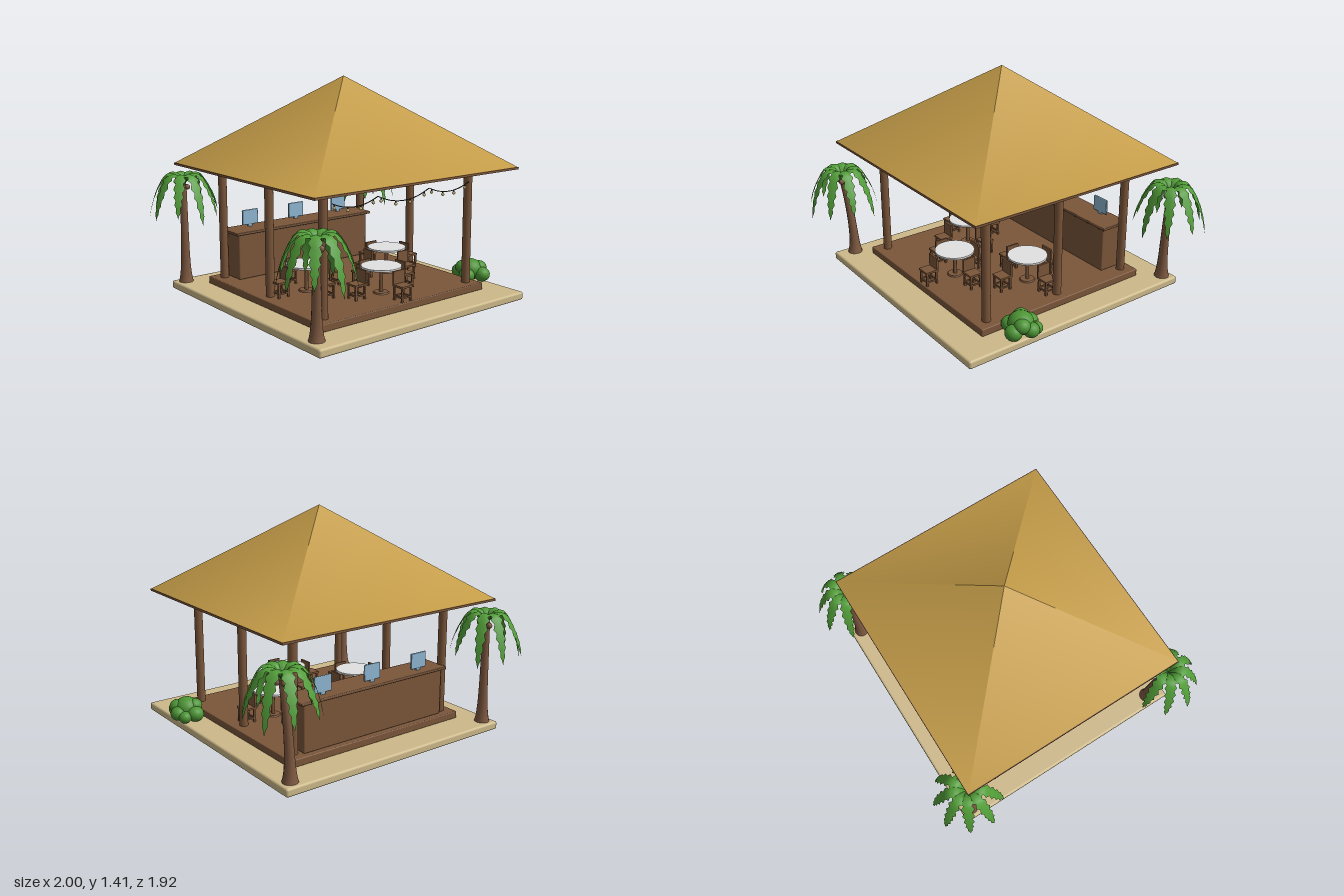
import * as THREE from 'three';
import { RoundedBoxGeometry } from 'three/addons/geometries/RoundedBoxGeometry.js';

const mat = (name, color, side = THREE.FrontSide) => {
  const m = new THREE.MeshStandardMaterial({ color, side });
  m.name = name;
  return m;
};

export function createModel() {
  const sand = mat('sand', 0xcdb98a);
  const wood = mat('wood', 0x7b563a);
  const trunkBrown = mat('trunk brown', 0x7d5840);
  const thatch = mat('thatch', 0xc49c48, THREE.DoubleSide);
  const white = mat('table white', 0xe2e2e2);
  const blue = mat('screen blue', 0x8db6d0);
  const leafGreen = mat('leaf green', 0x519c38, THREE.DoubleSide);
  const bushGreen = mat('bush green', 0x4c9434);
  const wireDark = mat('wire dark', 0x33302a);
  const bulbCream = mat('bulb cream', 0xd2bc82);

  const root = new THREE.Group();
  root.name = 'beachBar';

  const add = (parent, name, geo, material, x = 0, y = 0, z = 0) => {
    const m = new THREE.Mesh(geo, material);
    m.name = name;
    m.position.set(x, y, z);
    parent.add(m);
    return m;
  };
  const group = (name, x = 0, y = 0, z = 0, parent = root) => {
    const g = new THREE.Group();
    g.name = name;
    g.position.set(x, y, z);
    parent.add(g);
    return g;
  };
  const box = (w, h, d) => new THREE.BoxGeometry(w, h, d);

  // Sand slab and timber deck
  add(root, 'sandBase', new RoundedBoxGeometry(1.62, 0.052, 1.62, 3, 0.014), sand, 0, 0.026, 0);
  add(root, 'deck', new RoundedBoxGeometry(1.29, 0.047, 1.22, 2, 0.006), wood, 0, 0.0735, 0);

  // Six posts and the ring beam
  for (const x of [-0.572, 0.572]) {
    for (const z of [-0.53, 0, 0.53]) {
      add(root, 'post', new THREE.CylinderGeometry(0.027, 0.027, 0.71, 20), wood, x, 0.45, z);
    }
    add(root, 'sideBeam', box(0.06, 0.032, 1.22), wood, Math.sign(x) * 0.615, 0.817, 0);
  }
  for (const z of [-0.58, 0.58]) add(root, 'crossBeam', box(1.17, 0.032, 0.06), wood, 0, 0.817, z);

  // Roof: eave plate and a softly shaded four-sided pyramid
  add(root, 'eavePlate', box(1.585, 0.014, 1.505), wood, 0, 0.839, -0.004);
  const rx = 0.787, rz = 0.748;
  const corners = [[-rx, rz], [rx, rz], [rx, -rz], [-rx, -rz]];
  const pos = [], idx = [];
  corners.forEach(([x, z]) => pos.push(x, 0, z));
  corners.forEach((c, i) => {
    pos.push(0, 0.56, 0); // each face keeps its own apex normal
    idx.push(i, (i + 1) % 4, 4 + i);
  });
  const roof = new THREE.BufferGeometry();
  roof.setAttribute('position', new THREE.Float32BufferAttribute(pos, 3));
  roof.setIndex(idx);
  roof.computeVertexNormals();
  add(root, 'thatchRoof', roof, thatch, 0, 0.846, -0.004);

  // Bar counter with three screens
  const bar = group('barCounter', 0, 0, -0.49);
  add(bar, 'counterBody', new RoundedBoxGeometry(1.06, 0.295, 0.165, 2, 0.008), wood, -0.003, 0.243, 0);
  add(bar, 'counterTop', new RoundedBoxGeometry(1.11, 0.018, 0.2, 2, 0.005), wood, -0.003, 0.4, 0);
  for (const x of [-0.37, 0, 0.365]) {
    add(bar, 'screenStand', box(0.03, 0.016, 0.012), blue, x, 0.415, -0.04);
    add(bar, 'screen', new RoundedBoxGeometry(0.12, 0.1, 0.014, 2, 0.005), blue, x, 0.471, -0.04);
  }

  // String lights: three sagging spans with four bulbs each
  const lights = group('stringLights', 0, 0, 0.565);
  const hooks = [-0.54, -0.205, 0.2, 0.54];
  for (let s = 0; s < 3; s++) {
    const a = hooks[s], b = hooks[s + 1], sag = s === 1 ? 0.048 : 0.038;
    const at = (t) => new THREE.Vector3(a + (b - a) * t, 0.755 - sag * 4 * t * (1 - t), 0);
    const curve = new THREE.CatmullRomCurve3([0, 0.2, 0.4, 0.6, 0.8, 1].map(at));
    add(lights, 'wire', new THREE.TubeGeometry(curve, 20, 0.003, 6), wireDark);
    for (const t of [0.06, 0.34, 0.62, 0.9]) {
      const p = at(t);
      add(lights, 'bulbSocket', new THREE.CylinderGeometry(0.004, 0.005, 0.012, 8), wireDark, p.x, p.y - 0.006, 0);
      add(lights, 'bulb', new THREE.SphereGeometry(0.01, 10, 8), bulbCream, p.x, p.y - 0.018, 0);
    }
  }

  // Dining sets: round table with four chairs, backs toward the table
  const deckY = 0.097;
  const addChair = (parent, angle) => {
    const c = group('chair', Math.sin(angle) * 0.195, 0, Math.cos(angle) * 0.195, parent);
    c.rotation.y = angle;
    add(c, 'chairSeat', box(0.088, 0.012, 0.088), wood, 0, 0.091, 0);
    add(c, 'chairBack', box(0.088, 0.08, 0.012), wood, 0, 0.137, -0.038);
    for (const s of [-1, 1]) {
      for (const t of [-1, 1]) add(c, 'chairLeg', box(0.012, 0.086, 0.012), wood, s * 0.034, 0.043, t * 0.034);
      add(c, 'sideStretcher', box(0.008, 0.01, 0.06), wood, s * 0.034, 0.026, 0);
      add(c, 'crossStretcher', box(0.06, 0.01, 0.008), wood, 0, 0.026, s * 0.034);
    }
  };
  for (const [x, z] of [[-0.33, 0.04], [0.33, 0.04], [0, 0.365]]) {
    const set = group('diningSet', x, deckY, z);
    add(set, 'tableTop', new THREE.CylinderGeometry(0.125, 0.125, 0.012, 36), white, 0, 0.168, 0);
    add(set, 'tablePedestal', new THREE.CylinderGeometry(0.012, 0.012, 0.162, 12), wood, 0, 0.081, 0);
    add(set, 'tableFoot', new THREE.CylinderGeometry(0.045, 0.05, 0.008, 20), wood, 0, 0.004, 0);
    for (let k = 0; k < 4; k++) addChair(set, k * Math.PI / 2);
  }

  // Palm frond: serrated, folded strip along a drooping arc
  const frond = (drop, reach) => {
    const arc = new THREE.CatmullRomCurve3([
      [0, 0], [0.05, 0.075], [0.11, 0.075], [0.17, -0.01], [0.21, -0.11], [0.232, -0.21],
    ].map(([r, y]) => new THREE.Vector3(r * reach, y < 0 ? y * drop : y, 0)));
    const n = 18, p = [], ix = [];
    for (let i = 0; i <= n; i++) {
      const t = i / n, c = arc.getPoint(t);
      const w = 0.04 * Math.pow(Math.sin(Math.PI * Math.pow(0.04 + 0.96 * t, 0.8)), 0.7) * (i % 2 ? 0.62 : 1) || 0;
      p.push(c.x, c.y - w * 0.35, -w, c.x, c.y, 0, c.x, c.y - w * 0.35, w);
      if (i < n) {
        const a = i * 3;
        for (const k of [a, a + 1]) ix.push(k, k + 1, k + 3, k + 1, k + 4, k + 3);
      }
    }
    const g = new THREE.BufferGeometry();
    g.setAttribute('position', new THREE.Float32BufferAttribute(p, 3));
    g.setIndex(ix);
    g.computeVertexNormals();
    return g;
  };

  // Palms: flared leaning trunk, crown of nine fronds, coconuts
  const palms = [
    { base: [-0.74, 0.69], top: [-0.77, 0.735], h: 0.59, turn: 10 },
    { base: [0.74, -0.74], top: [0.775, -0.725], h: 0.64, turn: 8 },
    { base: [-0.74, -0.74], top: [-0.74, -0.74], h: 0.7, turn: 8 },
  ];
  for (const { base, top, h, turn } of palms) {
    const palm = group('palmTree', base[0], 0.05, base[1]);
    const dx = top[0] - base[0], dz = top[1] - base[1], H = h - 0.05;
    const trunk = new THREE.CylinderGeometry(1, 1, H, 14, 24);
    const v = trunk.attributes.position;
    for (let i = 0; i < v.count; i++) {
      const t = v.getY(i) / H + 0.5;
      const r = 0.03 - 0.009 * t + 0.018 * Math.exp(-t * 9);
      v.setXYZ(i, v.getX(i) * r + dx * t * t, t * H, v.getZ(i) * r + dz * t * t);
    }
    trunk.computeVertexNormals();
    add(palm, 'palmTrunk', trunk, trunkBrown);
    const crown = group('palmCrown', dx, H - 0.005, dz, palm);
    for (let k = 0; k < 9; k++) {
      const leaf = add(crown, 'palmLeaf', frond(0.85 + 0.12 * (k % 3), 1 - 0.04 * (k % 2)), leafGreen);
      leaf.rotation.y = -(turn + k * 40) * Math.PI / 180;
    }
    for (let k = 0; k < 3; k++) {
      const a = k * 2.1 + 0.6;
      add(crown, 'coconut', new THREE.SphereGeometry(0.018, 12, 10), trunkBrown, Math.cos(a) * 0.026, -0.012, Math.sin(a) * 0.026);
    }
  }

  // Rounded bush made of overlapping lobes: x, y, z, radius
  const bush = group('bush', 0.745, 0, 0.41);
  for (const [x, y, z, r] of [
    [0, 0.125, 0, 0.078], [-0.065, 0.098, 0.03, 0.053], [0.07, 0.105, -0.02, 0.05],
    [0.03, 0.1, 0.075, 0.053], [-0.02, 0.1, -0.075, 0.055], [0.05, 0.135, 0.03, 0.05],
    [-0.04, 0.14, -0.03, 0.05], [0.05, 0.09, -0.07, 0.042],
  ]) {
    const lobe = add(bush, 'bushLobe', new THREE.SphereGeometry(r, 18, 12), bushGreen, x, y, z);
    lobe.scale.y = 0.9;
  }

  return root;
}
